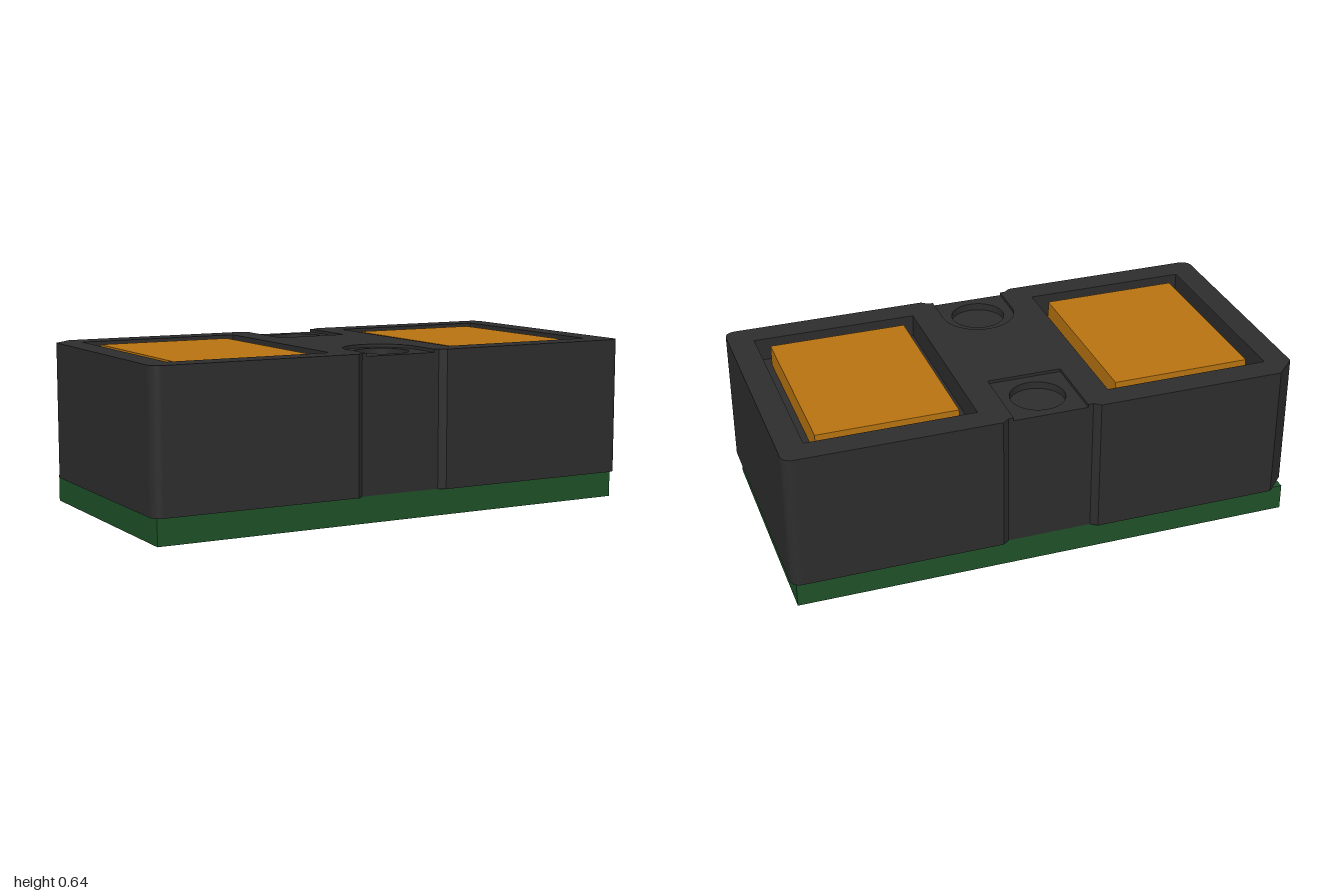
import * as THREE from 'three';

const mat = (color) => new THREE.MeshStandardMaterial({ color });
const black = mat(0x2d2d2d), green = mat(0x1e5028), amber = mat(0xb87310), gold = mat(0xc8a870);

const WINDOW_X = 0.578, PORT_Z = 0.347;

function box(name, x0, x1, y0, y1, z0, z1, material) {
  const mesh = new THREE.Mesh(new THREE.BoxGeometry(x1 - x0, y1 - y0, z1 - z0), material);
  mesh.position.set((x0 + x1) / 2, (y0 + y1) / 2, (z0 + z1) / 2);
  mesh.name = name;
  return mesh;
}

// Housing plan in x/z: rounded corners, one chamfer, a shallow notch in each long side
function housingPlan(withSlots) {
  const r = 0.04, w = 1, d = 0.51;
  const s = new THREE.Shape();
  s.moveTo(-w + r, d);
  s.lineTo(-0.19, d);
  s.lineTo(-0.165, 0.49);
  if (withSlots) { // round-ended slot on the front
    s.lineTo(-0.145, 0.49);
    s.lineTo(-0.145, PORT_Z);
    s.absarc(0, PORT_Z, 0.145, Math.PI, 2 * Math.PI, false);
    s.lineTo(0.145, 0.49);
  }
  s.lineTo(0.165, 0.49);
  s.lineTo(0.19, d);
  s.lineTo(w - r, d);
  s.absarc(w - r, d - r, r, Math.PI / 2, 0, true);
  s.lineTo(w, -d + r);
  s.absarc(w - r, -d + r, r, 0, -Math.PI / 2, true);
  s.lineTo(0.19, -d);
  s.lineTo(0.165, -0.49);
  if (withSlots) { // square slot on the back
    s.lineTo(0.145, -0.49);
    s.lineTo(0.145, -0.202);
    s.lineTo(-0.145, -0.202);
    s.lineTo(-0.145, -0.49);
  }
  s.lineTo(-0.165, -0.49);
  s.lineTo(-0.19, -d);
  s.lineTo(-0.92, -d);
  s.lineTo(-w, -0.43);
  s.lineTo(-w, d - r);
  s.absarc(-w + r, d - r, r, Math.PI, Math.PI / 2, true);
  return s;
}

function windowHole(cx) {
  const hx = 0.323, hz = 0.408;
  return new THREE.Path([[-hx, -hz], [hx, -hz], [hx, hz], [-hx, hz]]
    .map(([x, z]) => new THREE.Vector2(cx + x, z)));
}

function portHole(z) {
  const p = new THREE.Path();
  p.absarc(0, z, 0.105, 0, Math.PI * 2, false);
  return p;
}

// One horizontal slice of the housing
function layer(name, y0, y1, { windows = false, ports = false, slots = false }) {
  const plan = housingPlan(slots);
  if (windows) plan.holes.push(windowHole(-WINDOW_X), windowHole(WINDOW_X));
  if (ports) plan.holes.push(portHole(-PORT_Z), portHole(PORT_Z));
  const geo = new THREE.ExtrudeGeometry(plan, { depth: y1 - y0, bevelEnabled: false, curveSegments: 20 });
  geo.rotateX(Math.PI / 2);
  geo.translate(0, y1, 0);
  const mesh = new THREE.Mesh(geo, black);
  mesh.name = name;
  return mesh;
}

export function createModel() {
  const model = new THREE.Group();
  model.name = 'opticalSensor';

  // Housing, stacked so that windows, ports and slots end at their own depth
  const housing = new THREE.Group();
  housing.name = 'housing';
  housing.add(
    layer('housingBase', 0.11, 0.55, {}),
    layer('housingWindowLayer', 0.55, 0.6, { windows: true }),
    layer('housingPortLayer', 0.6, 0.628, { windows: true, ports: true }),
    layer('housingRim', 0.628, 0.64, { windows: true, slots: true }),
  );
  model.add(housing);

  // Amber windows inside the recesses
  for (const [name, x] of [['rightWindow', -WINDOW_X], ['leftWindow', WINDOW_X]]) {
    model.add(box(name, x - 0.27, x + 0.27, 0.55, 0.632, -0.357, 0.357, amber));
  }

  // Circuit board
  model.add(box('circuitBoard', -0.98, 0.98, 0.008, 0.11, -0.49, 0.49, green));

  // Contact pads: two rows of five, plus one at each end between them
  const pads = new THREE.Group();
  pads.name = 'contactPads';
  for (const x of [-0.65, -0.326, 0, 0.326, 0.65]) {
    for (const z of [-0.327, 0, 0.327]) {
      if (z === 0 && Math.abs(x) < 0.6) continue;
      pads.add(box('contactPad', x - 0.102, x + 0.102, 0, 0.01, z - 0.102, z + 0.102, gold));
    }
  }
  // Tab marking the first contact
  pads.add(box('firstPadTab', -0.79, -0.752, 0, 0.01, -0.429, -0.365, gold));
  model.add(pads);

  return model;
}
